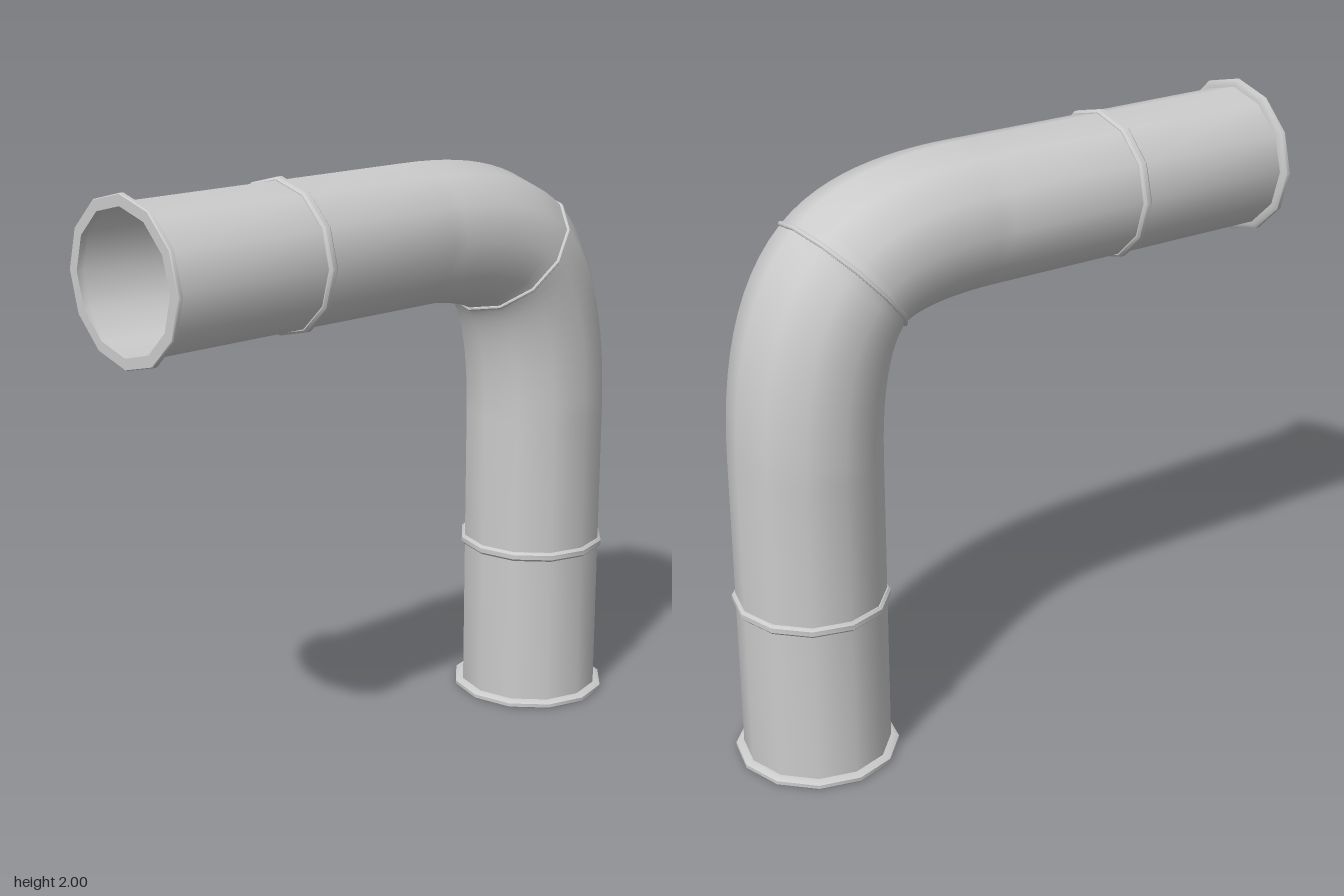
import * as THREE from 'three';
import { toCreasedNormals } from 'three/addons/utils/BufferGeometryUtils.js';

const SIDES = 12;
const material = new THREE.MeshStandardMaterial({ color: 0xcccccc, side: THREE.DoubleSide });

// Centre line in the x = 0 plane
const v = (y, z) => new THREE.Vector3(0, y, z);
const AXIS_Y = 1.735, AXIS_Z = -0.728;
const SEAM = v(1.625, -0.57);
const upperBend = new THREE.QuadraticBezierCurve3(v(AXIS_Y, -0.1), v(AXIS_Y, -0.45), SEAM);
const lowerBend = new THREE.QuadraticBezierCurve3(SEAM, v(1.48, AXIS_Z), v(1.05, AXIS_Z));
const FORWARD = v(0, -1), DOWN = v(-1, 0);

// Lofts slightly oval 12-sided sections; each station is { c: centre, t: direction, r: radius }
function loft(stations, closed = false) {
  const pos = [], idx = [];
  for (const { c, t, r } of stations) {
    const oval = r * (0.955 + 0.02 * Math.abs(t.y));
    for (let j = 0; j < SIDES; j++) {
      const a = (j / SIDES) * Math.PI * 2;
      const n = oval * Math.cos(a);
      pos.push(r * Math.sin(a), c.y - t.z * n, c.z + t.y * n);
    }
  }
  const count = stations.length;
  for (let i = 0; i < (closed ? count : count - 1); i++) {
    const p = i * SIDES, q = ((i + 1) % count) * SIDES;
    for (let j = 0; j < SIDES; j++) {
      const k = (j + 1) % SIDES;
      idx.push(p + j, p + k, q + j, p + k, q + k, q + j);
    }
  }
  const geometry = new THREE.BufferGeometry();
  geometry.setAttribute('position', new THREE.Float32BufferAttribute(pos, 3));
  geometry.setIndex(idx);
  geometry.computeVertexNormals();
  return geometry;
}

// Collar around the pipe; profile is a closed loop of [offset along the pipe, radius]
function collar(c, t, profile) {
  const stations = profile.map(([d, r]) => ({ c: c.clone().addScaledVector(t, d), t, r }));
  return toCreasedNormals(loft(stations, true), 0.6);
}

// Stations along a bend
function bendStations(curve, r, steps = 12) {
  return Array.from({ length: steps + 1 }, (_, i) => ({
    c: curve.getPoint(i / steps), t: curve.getTangent(i / steps), r,
  }));
}

// Rounded bead profile of half width w between an inner and an outer radius
const bead = (w, inner, outer) => [
  [-w, inner], [-w, outer - w * 0.5], [-w * 0.5, outer],
  [w * 0.5, outer], [w, outer - w * 0.5], [w, inner],
];

export function createModel() {
  const group = new THREE.Group();
  const add = (name, geometry) => {
    const mesh = new THREE.Mesh(geometry, material);
    mesh.name = name;
    group.add(mesh);
  };
  const R = 0.248;

  // Two open pipe halves meeting at the elbow seam
  add('horizontalPipe', loft([
    { c: v(AXIS_Y, 0.99), t: FORWARD, r: R },
    { c: v(AXIS_Y, 0.4), t: FORWARD, r: R },
    ...bendStations(upperBend, R),
  ]));
  add('verticalPipe', loft([
    ...bendStations(lowerBend, R),
    { c: v(0.56, AXIS_Z), t: DOWN, r: R },
    { c: v(0.01, AXIS_Z), t: DOWN, r: R },
  ]));

  // Raised bands and elbow seam
  add('horizontalBand', collar(v(AXIS_Y, 0.41), FORWARD, bead(0.016, 0.244, 0.26)));
  add('verticalBand', collar(v(0.565, AXIS_Z), DOWN, bead(0.016, 0.244, 0.26)));
  add('elbowSeam', collar(SEAM, upperBend.getTangent(1), bead(0.008, 0.244, 0.256)));

  // Flanges at both open ends
  const flange = [[0, 0.235], [0, 0.272], [0.004, 0.275], [0.016, 0.275], [0.024, 0.262], [0.024, 0.235]];
  add('frontFlange', collar(v(AXIS_Y, 1), FORWARD, flange));
  const flipped = flange.map(([d, r]) => [-d, r]).reverse();
  add('bottomFlange', collar(v(0, AXIS_Z), DOWN, flipped));

  return group;
}
